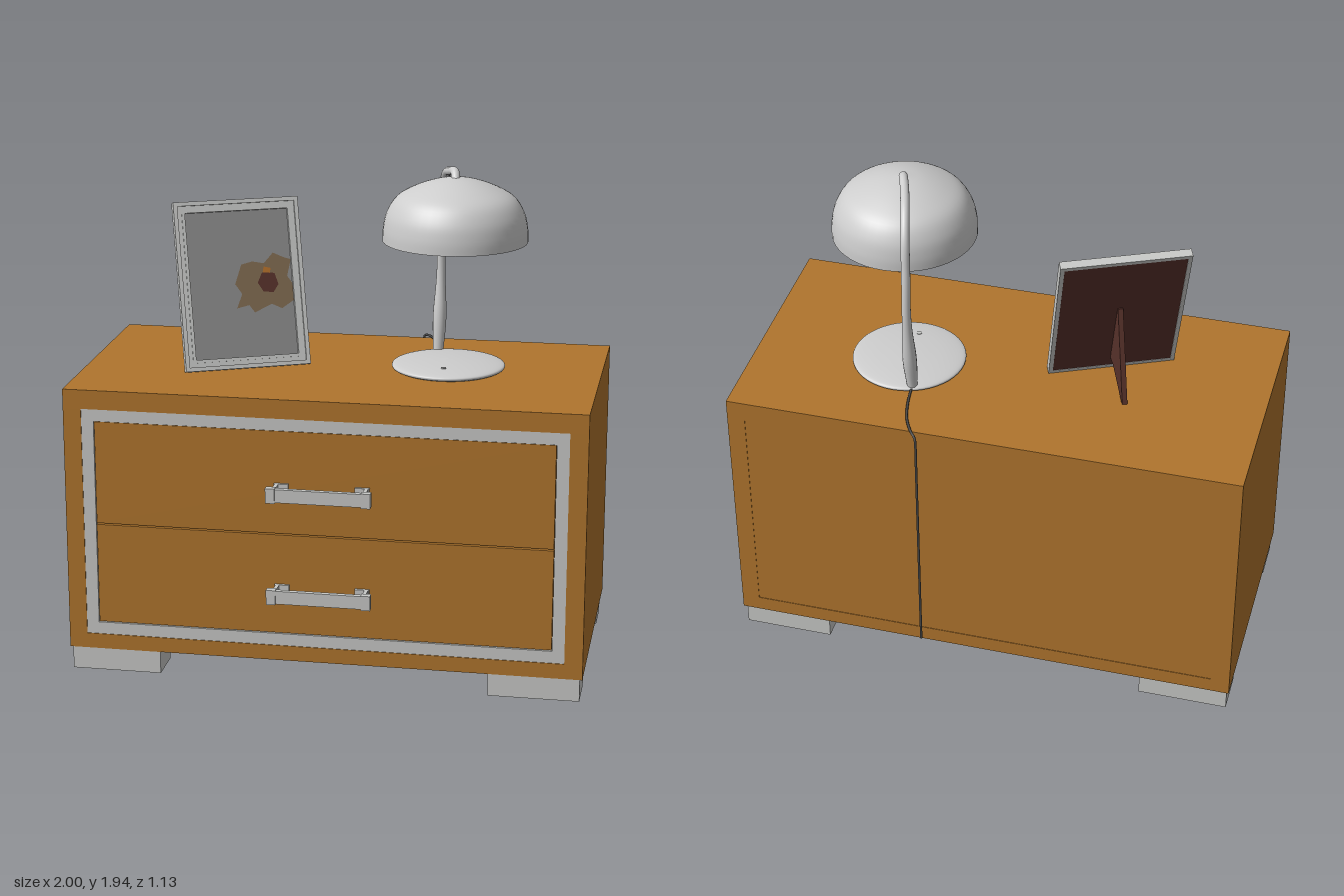
import * as THREE from 'three';

const mat = (name, color, side = THREE.FrontSide) => {
  const m = new THREE.MeshStandardMaterial({ color, side });
  m.name = name;
  return m;
};

export function createModel() {
  const wood = mat('wood', 0xb0752d);
  const silver = mat('silver', 0xc8c9c7);
  const enamel = mat('lamp enamel', 0xcdcdcd, THREE.DoubleSide);
  const glass = mat('picture grey', 0x8b8b8b);
  const brown = mat('dark brown', 0x57312a);
  const tan = mat('petal tan', 0x7f6a50);
  const orange = mat('orange', 0xb5702a);
  const black = mat('cord grey', 0x484848);

  const model = new THREE.Group();
  model.name = 'nightstand';
  const group = (name, parent = model) => {
    const g = new THREE.Group();
    g.name = name;
    parent.add(g);
    return g;
  };
  const add = (parent, name, geo, material, x = 0, y = 0, z = 0) => {
    const m = new THREE.Mesh(geo, material);
    m.name = name;
    m.position.set(x, y, z);
    parent.add(m);
    return m;
  };
  // Box given by its minimum and maximum on each axis
  const box = (parent, name, material, x0, x1, y0, y1, z0, z1) =>
    add(parent, name, new THREE.BoxGeometry(x1 - x0, y1 - y0, z1 - z0), material,
      (x0 + x1) / 2, (y0 + y1) / 2, (z0 + z1) / 2);
  // Rectangular ring, extruded along z from 0
  const ring = (w, h, border, depth) => {
    const rect = (T, a, b) => new T([[-a, -b], [a, -b], [a, b], [-a, b]].map(p => new THREE.Vector2(...p)));
    const s = rect(THREE.Shape, w / 2, h / 2);
    s.holes.push(rect(THREE.Path, w / 2 - border, h / 2 - border));
    return new THREE.ExtrudeGeometry(s, { depth, bevelEnabled: false });
  };

  // Cabinet
  const cabinet = group('cabinet');
  const F = 0.475, B = -0.525;
  box(cabinet, 'topBoard', wood, -1, 1, 1.06, 1.135, B, F);
  box(cabinet, 'bottomBoard', wood, -1, 1, 0.09, 0.15, B, F);
  box(cabinet, 'backPanel', wood, -0.93, 0.93, 0.15, 1.06, B + 0.002, B + 0.04);
  add(cabinet, 'frontTrim', ring(1.86, 0.91, 0.048, 0.04), silver, 0, 0.605, F - 0.043);
  for (const s of [-1, 1]) {
    box(cabinet, 'sidePanel', wood, s * 0.965 - 0.035, s * 0.965 + 0.035, 0.15, 1.06, B, F);
    for (const z of [0.39, -0.43])
      box(cabinet, 'foot', silver, s * 0.815 - 0.175, s * 0.815 + 0.175, 0, 0.09, z - 0.08, z + 0.08);
  }

  // Drawers with bar handles
  for (const [y0, y1, hy] of [[0.201, 0.598, 0.377], [0.604, 1.01, 0.782]]) {
    const drawer = group('drawer', cabinet);
    box(drawer, 'drawerFront', wood, -0.88, 0.88, y0, y1, F - 0.05, F - 0.006);
    box(drawer, 'handleBar', silver, -0.165, 0.165, hy - 0.026, hy + 0.026, 0.538, 0.558);
    for (const s of [-1, 1]) {
      box(drawer, 'handleEnd', silver, s * 0.182 - 0.018, s * 0.182 + 0.018, hy - 0.029, hy + 0.029, 0.534, 0.562);
      box(drawer, 'handlePost', silver, s * 0.172 - 0.007, s * 0.172 + 0.007, hy - 0.023, hy + 0.023, F - 0.01, 0.536);
      box(drawer, 'handlePlate', silver, s * 0.155 - 0.028, s * 0.155 + 0.028, hy - 0.023, hy + 0.023, F - 0.01, F + 0.006);
    }
  }

  // Picture frame, turned and leaning back
  const picture = group('pictureFrame');
  picture.position.set(-0.37, 1.135, 0.065);
  picture.rotation.y = THREE.MathUtils.degToRad(25);
  const lean = group('leaningFrame', picture);
  lean.rotation.x = -0.32;
  const W = 0.497, H = 0.66;
  add(lean, 'outerMoulding', ring(W, H, 0.016, 0.034), silver, 0, H / 2);
  add(lean, 'middleMoulding', ring(W - 0.032, H - 0.032, 0.016, 0.022), silver, 0, H / 2, 0.004);
  add(lean, 'innerMoulding', ring(W - 0.064, H - 0.064, 0.012, 0.026), silver, 0, H / 2, 0.004);
  box(lean, 'backing', brown, -0.232, 0.232, 0.016, H - 0.016, 0.001, 0.008);
  box(lean, 'picturePane', glass, -0.21, 0.21, 0.04, H - 0.04, 0.008, 0.016);

  // Painted flower, cut off by the edge of the pane
  const flat = (name, pts, material, z) => add(lean, name,
    new THREE.ShapeGeometry(new THREE.Shape(pts.map(p => new THREE.Vector2(...p)))), material, 0.105, 0.33, z);
  flat('petals', [[-0.055, 0.085], [-0.01, 0.075], [0.03, 0.115], [0.07, 0.095], [0.1, 0.085], [0.08, 0.02],
    [0.1, -0.01], [0.1, -0.075], [0.05, -0.105], [0.01, -0.085], [-0.06, -0.115], [-0.08, -0.085],
    [-0.13, -0.095], [-0.105, -0.04], [-0.13, 0], [-0.1, 0.075]].reverse(), tan, 0.018);
  flat('flowerCore', [[-0.04, 0], [-0.02, -0.035], [0.02, -0.04], [0.042, -0.01], [0.03, 0.035], [-0.02, 0.04]], brown, 0.02);
  flat('flowerTip', [[-0.018, 0.04], [0.01, 0.036], [0.016, 0.055], [-0.012, 0.062]], orange, 0.022);

  // Easel stand behind the frame: a thin triangular plate
  const standShape = new THREE.Shape([[0.112, 0.36], [0.125, 0.36], [0.245, 0], [0.225, 0], [0.07, 0.06], [0.02, 0.06]]
    .map(p => new THREE.Vector2(...p)));
  const standGeo = new THREE.ExtrudeGeometry(standShape, { depth: 0.02, bevelEnabled: false });
  standGeo.rotateY(Math.PI / 2);
  add(picture, 'easelStand', standGeo, brown, -0.01, 0, 0);

  // Lamp
  const lamp = group('lamp');
  const lathe = (pts) => new THREE.LatheGeometry(
    new THREE.SplineCurve(pts.map(p => new THREE.Vector2(...p))).getPoints(28), 48);
  add(lamp, 'lampBase', lathe([[0.205, 0], [0.22, 0.008], [0.212, 0.02], [0.15, 0.03], [0.07, 0.036], [0, 0.038]]),
    enamel, 0.402, 1.135, -0.083);
  add(lamp, 'lampSwitch', new THREE.CylinderGeometry(0.01, 0.012, 0.012, 16), silver, 0.4, 1.164, 0.045);
  add(lamp, 'lampShade', lathe([[0.278, 0], [0.276, 0.05], [0.262, 0.11], [0.225, 0.167], [0.16, 0.205],
    [0.08, 0.233], [0, 0.246]]), enamel, 0.435, 1.665, 0.012);
  add(lamp, 'lampSocket', new THREE.CylinderGeometry(0.03, 0.025, 0.07, 24), enamel, 0.435, 1.87, 0.012);

  // Curved arm, swelling low down and slim above
  const vecs = pts => pts.map(p => new THREE.Vector3(...p));
  const armPath = new THREE.CatmullRomCurve3(vecs([[0.336, 1.14, -0.265], [0.338, 1.3, -0.285], [0.34, 1.5, -0.3],
    [0.342, 1.68, -0.286], [0.35, 1.81, -0.258], [0.37, 1.885, -0.185], [0.402, 1.915, -0.08],
    [0.428, 1.924, -0.01], [0.436, 1.895, 0.018]]));
  const SEG = 70, RAD = 16;
  const arm = new THREE.TubeGeometry(armPath, SEG, 1, RAD);
  const pos = arm.attributes.position, v = new THREE.Vector3();
  for (let i = 0; i < pos.count; i++) {
    const t = Math.floor(i / (RAD + 1)) / SEG;
    const c = armPath.getPointAt(t);
    const r = 0.017 + 0.01 * Math.exp(-(((t - 0.14) / 0.12) ** 2));
    v.fromBufferAttribute(pos, i).sub(c).multiplyScalar(r).add(c);
    pos.setXYZ(i, v.x, v.y, v.z);
  }
  arm.computeVertexNormals();
  add(lamp, 'lampArm', arm, enamel);

  // Cord running over the back edge and hanging down
  const cord = new THREE.CatmullRomCurve3(vecs([[0.335, 1.148, -0.28], [0.325, 1.144, -0.36], [0.3, 1.142, -0.46],
    [0.262, 1.142, -0.535], [0.24, 1.135, -0.56], [0.236, 1.1, -0.565], [0.236, 1, -0.565], [0.236, 0.6, -0.565],
    [0.236, 0.13, -0.565]]));
  add(lamp, 'cord', new THREE.TubeGeometry(cord, 90, 0.005, 8), black);

  return model;
}
